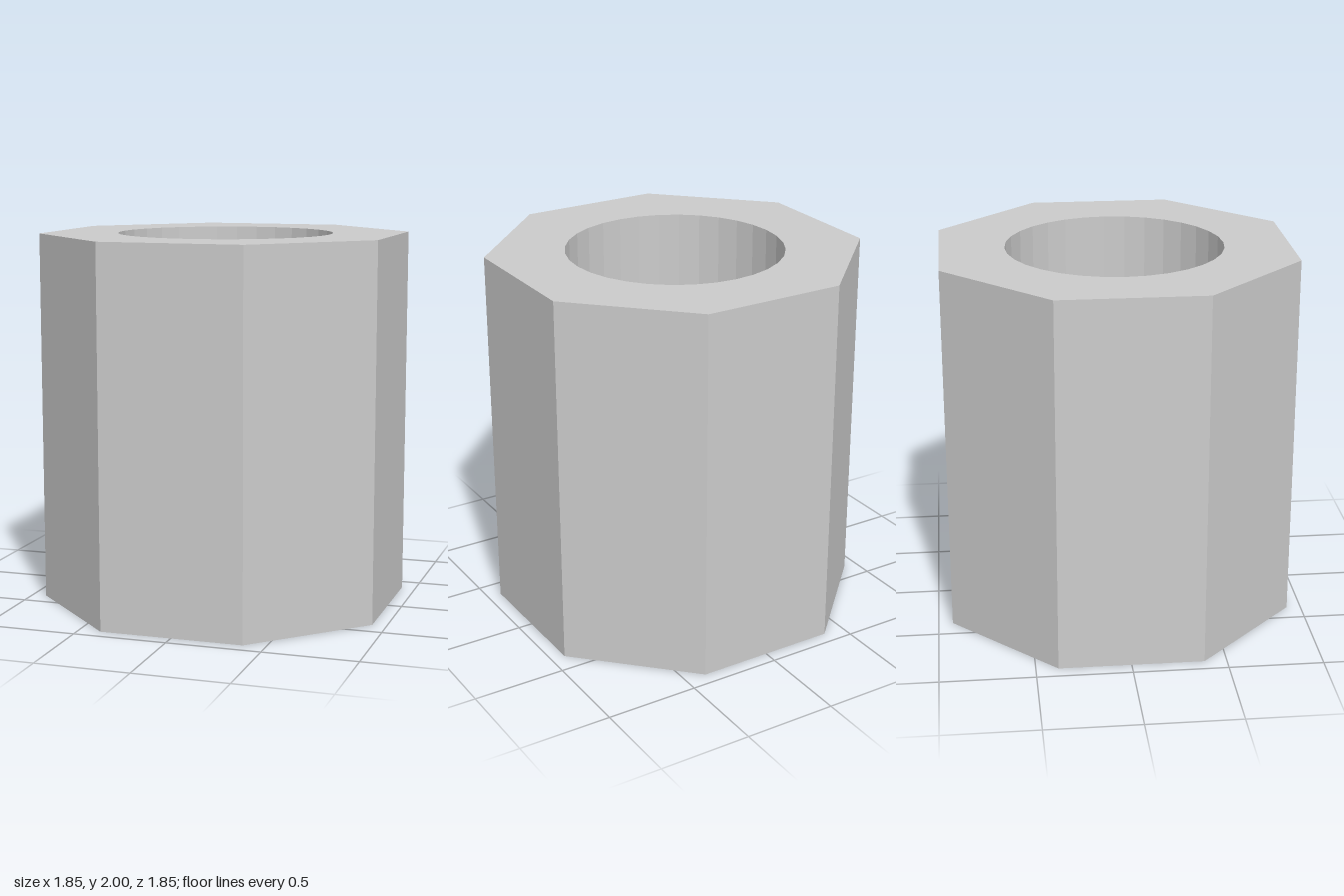
import * as THREE from 'three';

const HEIGHT = 2;
const OUTER = 1; // octagon corner radius
const BORE = 0.58; // hole radius
const FLOOR = 0.2; // thickness under the blind hole
const SIDES = 8;
const BORE_SIDES = 32;

// Points of a regular polygon
function ring(radius, sides, start = 0) {
  return Array.from({ length: sides }, (_, i) => {
    const a = start + (i / sides) * Math.PI * 2;
    return new THREE.Vector2(radius * Math.cos(a), radius * Math.sin(a));
  });
}

// Turned surface from [radius, height] pairs
function turned(profile, sides, start = 0) {
  return new THREE.LatheGeometry(profile.map(([r, y]) => new THREE.Vector2(r, y)), sides, start);
}

export function createModel() {
  const group = new THREE.Group();
  group.name = 'octagonalCup';
  const material = new THREE.MeshStandardMaterial({ color: 0xcccccc, flatShading: true });
  const add = (name, geometry) => {
    const mesh = new THREE.Mesh(geometry, material);
    mesh.name = name;
    group.add(mesh);
  };

  // Closed underside and eight flat outer walls
  add('outerBody', turned([[0, 0], [OUTER, 0], [OUTER, HEIGHT]], SIDES, Math.PI / SIDES));

  // Round blind hole: inward-facing wall and floor
  add('bore', turned([[BORE, HEIGHT], [BORE, FLOOR], [0, FLOOR]], BORE_SIDES));

  // Flat rim joining the octagon to the hole
  const shape = new THREE.Shape(ring(OUTER, SIDES, Math.PI / SIDES));
  shape.holes.push(new THREE.Path(ring(BORE, BORE_SIDES)));
  add('rim', new THREE.ShapeGeometry(shape).rotateX(-Math.PI / 2).translate(0, HEIGHT, 0));

  return group;
}
